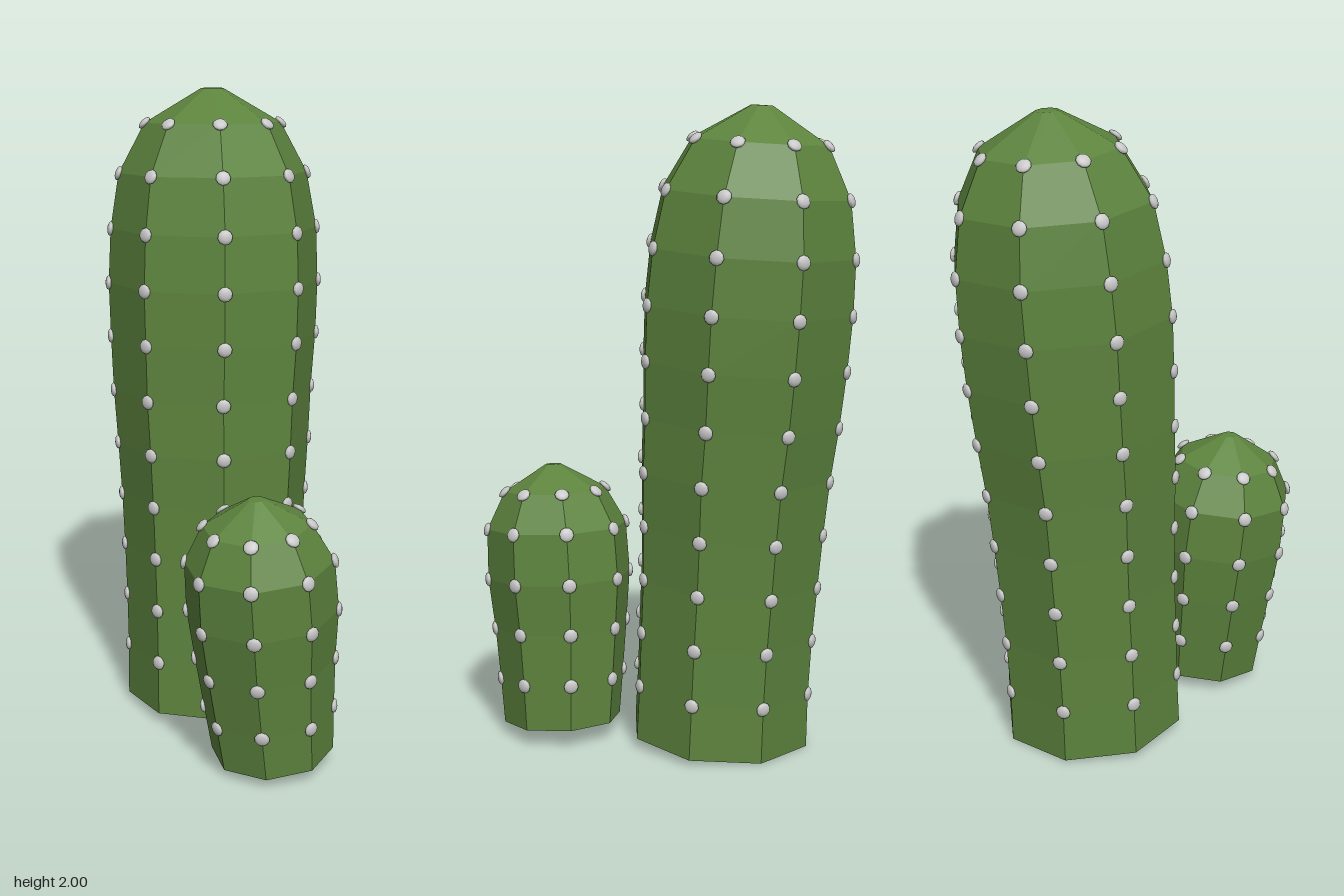
import * as THREE from 'three';
import { mergeGeometries } from 'three/addons/utils/BufferGeometryUtils.js';

const SIDES = 8;
const green = new THREE.MeshStandardMaterial({ color: 0x5d843e });
green.name = 'cactus green';
const grey = new THREE.MeshStandardMaterial({ color: 0xc8c8c8 });
grey.name = 'pale grey';

// Corner i of a ring [height, radius, centre x, centre z], tilted to follow the leaning stem
function corner([y, r, x, z], i, turn, lean) {
  const a = turn + (i / SIDES) * Math.PI * 2;
  const dx = r * Math.cos(a), dz = r * Math.sin(a);
  return new THREE.Vector3(x + dx, y - lean[0] * dx - lean[1] * dz, z + dz);
}

// Flat-faced geometry from a list of triangle corners
function facets(points) {
  const geometry = new THREE.BufferGeometry().setFromPoints(points);
  geometry.computeVertexNormals();
  return geometry;
}

function makeStem(name, rings, turn, lean) {
  const group = new THREE.Group();
  group.name = name;
  const at = (j, i) => corner(rings[j], i, turn, lean);
  const centre = ([y, , x, z]) => new THREE.Vector3(x, y, z);
  const last = rings.length - 1;
  const skin = [], base = [], spots = [];
  const up = new THREE.Vector3(lean[0], 1, lean[1]).normalize();

  for (let i = 0; i < SIDES; i++) {
    // ribbed sides
    for (let j = 0; j < last; j++) {
      const a = at(j, i), b = at(j, i + 1), c = at(j + 1, i + 1), d = at(j + 1, i);
      skin.push(a, d, b, d, c, b);
    }
    // tip and cut base
    skin.push(centre(rings[last]), at(last, i + 1), at(last, i));
    base.push(centre(rings[0]), at(0, i), at(0, i + 1));

    // a flattened spine cushion on each rib at every ring
    for (let j = 1; j < last; j++) {
      const p = at(j, i);
      const radial = p.clone().sub(centre(rings[j])).normalize();
      const dr = rings[j + 1][1] - rings[j - 1][1];
      const dy = rings[j + 1][0] - rings[j - 1][0];
      const normal = radial.multiplyScalar(dy).addScaledVector(up, -dr).normalize();
      const turnTo = new THREE.Quaternion().setFromUnitVectors(new THREE.Vector3(0, 1, 0), normal);
      spots.push(new THREE.SphereGeometry(0.023, 10, 6)
        .scale(1, 0.45, 1).applyQuaternion(turnTo).translate(p.x, p.y, p.z));
    }
  }

  const add = (part, geometry, material) => {
    const mesh = new THREE.Mesh(geometry, material);
    mesh.name = part;
    group.add(mesh);
  };
  add('ribbedSkin', facets(skin), green);
  add('cutBase', facets(base), grey);
  add('spineCushions', mergeGeometries(spots), grey);
  return group;
}

export function createModel() {
  const model = new THREE.Group();
  model.name = 'cactus';

  // rings: height, radius, centre x, centre z
  model.add(makeStem('tallStem', [
    [0.02, 0.29, 0.062, -0.135],
    [0.193, 0.287, 0.066, -0.14],
    [0.368, 0.289, 0.072, -0.146],
    [0.54, 0.293, 0.08, -0.154],
    [0.71, 0.3, 0.087, -0.16],
    [0.88, 0.31, 0.094, -0.166],
    [1.05, 0.32, 0.105, -0.178],
    [1.225, 0.33, 0.117, -0.184],
    [1.395, 0.335, 0.126, -0.191],
    [1.565, 0.328, 0.137, -0.199],
    [1.738, 0.298, 0.144, -0.208],
    [1.892, 0.215, 0.154, -0.217],
    [1.998, 0.034, 0.157, -0.222],
  ], -0.03, [0.05, -0.045]));

  model.add(makeStem('smallStem', [
    [0.043, 0.188, -0.187, 0.312],
    [0.187, 0.2, -0.2, 0.307],
    [0.35, 0.214, -0.215, 0.303],
    [0.51, 0.23, -0.228, 0.303],
    [0.67, 0.225, -0.245, 0.304],
    [0.787, 0.163, -0.257, 0.305],
    [0.868, 0.025, -0.265, 0.308],
  ], 0.2, [-0.094, 0]));

  return model;
}
